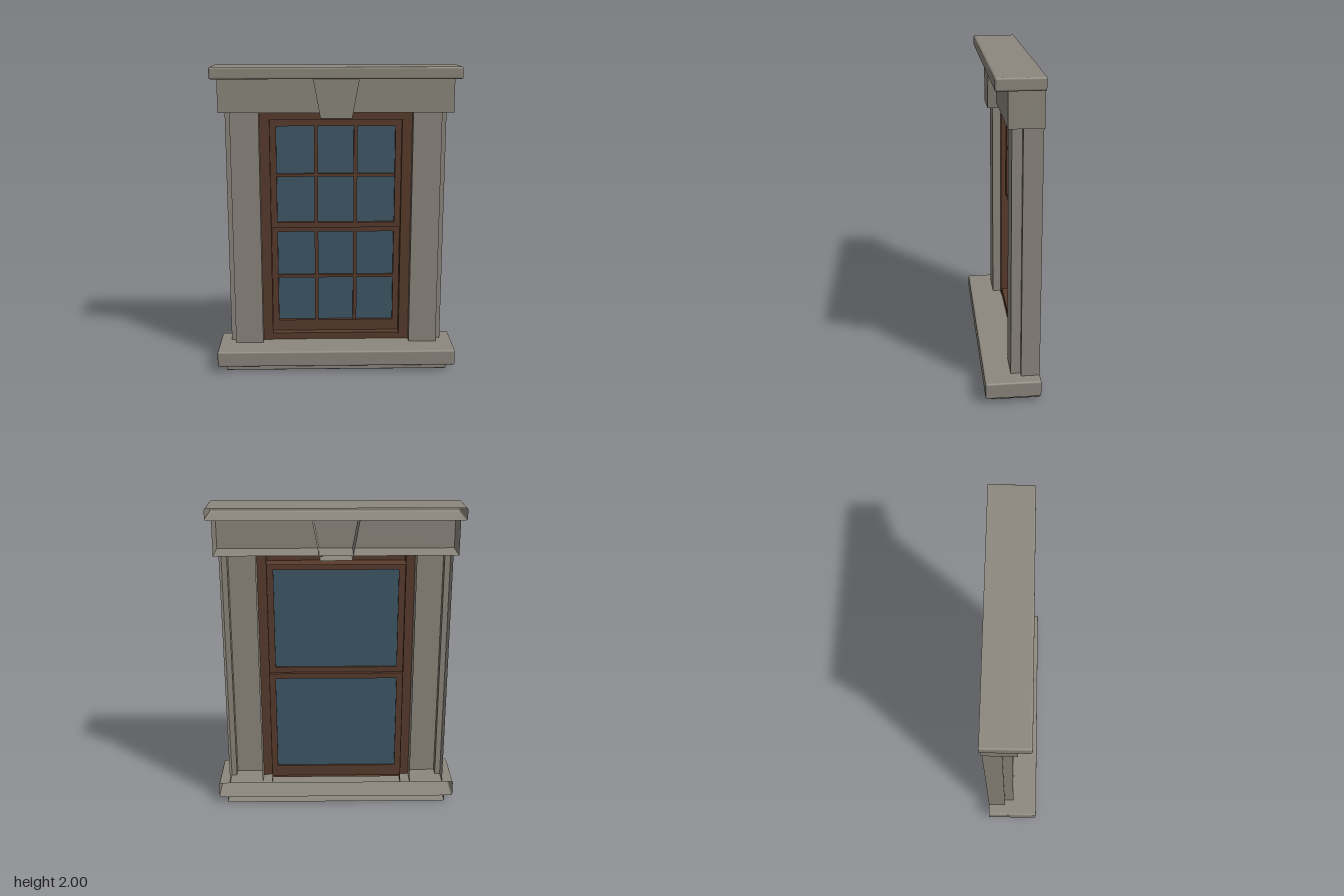
import * as THREE from 'three';
import { RoundedBoxGeometry } from 'three/addons/geometries/RoundedBoxGeometry.js';

const BACK = -0.17; // plane where every hollow part is left open
const flat = (color, name) => {
  const m = new THREE.MeshStandardMaterial({ color, side: THREE.DoubleSide });
  m.name = name;
  return m;
};

export function createModel() {
  const group = new THREE.Group();
  const stone = flat(0x8d887e, 'stone');
  const wood = flat(0x593b2c, 'wood');
  const glass = flat(0x3f5968, 'glass');

  const add = (name, geometry, material, parent = group) => {
    const mesh = new THREE.Mesh(geometry, material);
    mesh.name = name;
    parent.add(mesh);
    return mesh;
  };

  // Box between limits; sides listed in skip are left off (2 top, 3 bottom, 5 back)
  const box = (x0, x1, y0, y1, z0, z1, skip = []) => {
    const g = new THREE.BoxGeometry(x1 - x0, y1 - y0, z1 - z0);
    g.translate((x0 + x1) / 2, (y0 + y1) / 2, (z0 + z1) / 2);
    const index = Array.from(g.index.array);
    g.setIndex(index.filter((_, i) => !skip.includes(Math.floor(i / 6))));
    g.clearGroups();
    return g;
  };

  // Slab with softened edges, cut open at the back plane
  const slab = (halfWidth, y0, y1, front, radius) => {
    const z0 = BACK - 0.05;
    const g = new RoundedBoxGeometry(2 * halfWidth, y1 - y0, front - z0, 3, radius);
    g.translate(0, (y0 + y1) / 2, (front + z0) / 2);
    const p = g.attributes.position, n = g.attributes.normal;
    const pos = [], nor = [];
    for (let i = 0; i < p.count; i += 3) {
      if ([0, 1, 2].every((k) => p.getZ(i + k) < BACK)) continue;
      for (let k = i; k < i + 3; k++) {
        pos.push(p.getX(k), p.getY(k), Math.max(BACK, p.getZ(k)));
        nor.push(n.getX(k), n.getY(k), n.getZ(k));
      }
    }
    const out = new THREE.BufferGeometry();
    out.setAttribute('position', new THREE.Float32BufferAttribute(pos, 3));
    out.setAttribute('normal', new THREE.Float32BufferAttribute(nor, 3));
    return out;
  };

  // Upright sheet following an open outline of [x, z] points
  const sheet = (points, y0, y1) => {
    const pos = [];
    for (let i = 0; i < points.length - 1; i++) {
      const [ax, az] = points[i], [bx, bz] = points[i + 1];
      pos.push(ax, y0, az, bx, y0, bz, bx, y1, bz);
      pos.push(ax, y0, az, bx, y1, bz, ax, y1, az);
    }
    const g = new THREE.BufferGeometry();
    g.setAttribute('position', new THREE.Float32BufferAttribute(pos, 3));
    g.computeVertexNormals();
    return g;
  };

  // Stone sill and crown
  add('sill', slab(0.79, 0.04, 0.145, 0.17, 0.012), stone);
  add('sillBase', slab(0.735, 0, 0.04, 0.13, 0.008), stone);
  add('crown', slab(0.79, 1.925, 2, 0.11, 0.012), stone);
  add('lintel', box(-0.75, 0.75, 1.71, 1.925, BACK, 0.035, [2, 5]), stone);

  // Keystone tapers toward its foot
  const key = box(-1, 1, 1.68, 1.925, BACK, 0.09, [2, 5]);
  const kp = key.attributes.position;
  for (let i = 0; i < kp.count; i++) {
    kp.setX(i, kp.getX(i) * (kp.getY(i) > 1.8 ? 0.145 : 0.1));
  }
  key.computeVertexNormals();
  add('keystone', key, stone);

  // Stepped stone jambs and the wooden casing inside them, listed left to right
  const jamb = [[0.495, BACK], [0.495, 0.005], [0.68, 0.005], [0.68, -0.055], [0.715, -0.055], [0.715, BACK]];
  const casing = [[0.43, BACK], [0.43, -0.05], [0.495, -0.05]];
  const mirrored = (pts) => pts.map(([x, z]) => [-x, z]).reverse();
  add('leftJamb', sheet(jamb, 0.145, 1.71), stone);
  add('rightJamb', sheet(mirrored(jamb), 0.145, 1.71), stone);
  add('leftCasing', sheet(casing, 0.145, 1.71), wood);
  add('rightCasing', sheet(mirrored(casing), 0.145, 1.71), wood);
  add('headCasing', box(-0.43, 0.43, 1.655, 1.71, BACK, -0.055, [0, 1, 2, 5]), wood);
  add('sillCasing', box(-0.43, 0.43, 0.145, 0.19, BACK, -0.055, [0, 1, 3, 5]), wood);

  // Sash: frame, one pane, and a grid of bars in front of it
  const sash = (name, y0, y1, g0, g1, front, barY) => {
    const s = new THREE.Group();
    s.name = name;
    group.add(s);
    const rect = (T, w, a, b) => {
      const r = new T();
      r.moveTo(-w, a);
      r.lineTo(w, a);
      r.lineTo(w, b);
      r.lineTo(-w, b);
      r.closePath();
      return r;
    };
    const shape = rect(THREE.Shape, 0.43, y0, y1);
    shape.holes.push(rect(THREE.Path, 0.39, g0, g1));
    const frame = new THREE.ExtrudeGeometry(shape, { depth: 0.04, bevelEnabled: false });
    frame.translate(0, 0, front - 0.04);
    add('sashFrame', frame, wood, s);
    const paneZ = front - 0.024;
    add('pane', box(-0.39, 0.39, g0, g1, paneZ - 0.004, paneZ), glass, s);
    for (const x of [-0.13, 0.13]) {
      add('uprightBar', box(x - 0.012, x + 0.012, g0, g1, paneZ, front - 0.004), wood, s);
    }
    add('crossBar', box(-0.39, 0.39, barY - 0.01, barY + 0.01, paneZ, front - 0.006), wood, s);
  };
  sash('upperSash', 0.93, 1.655, 0.965, 1.61, -0.082, 1.285);
  sash('lowerSash', 0.19, 0.93, 0.265, 0.895, -0.107, 0.58);

  return group;
}
